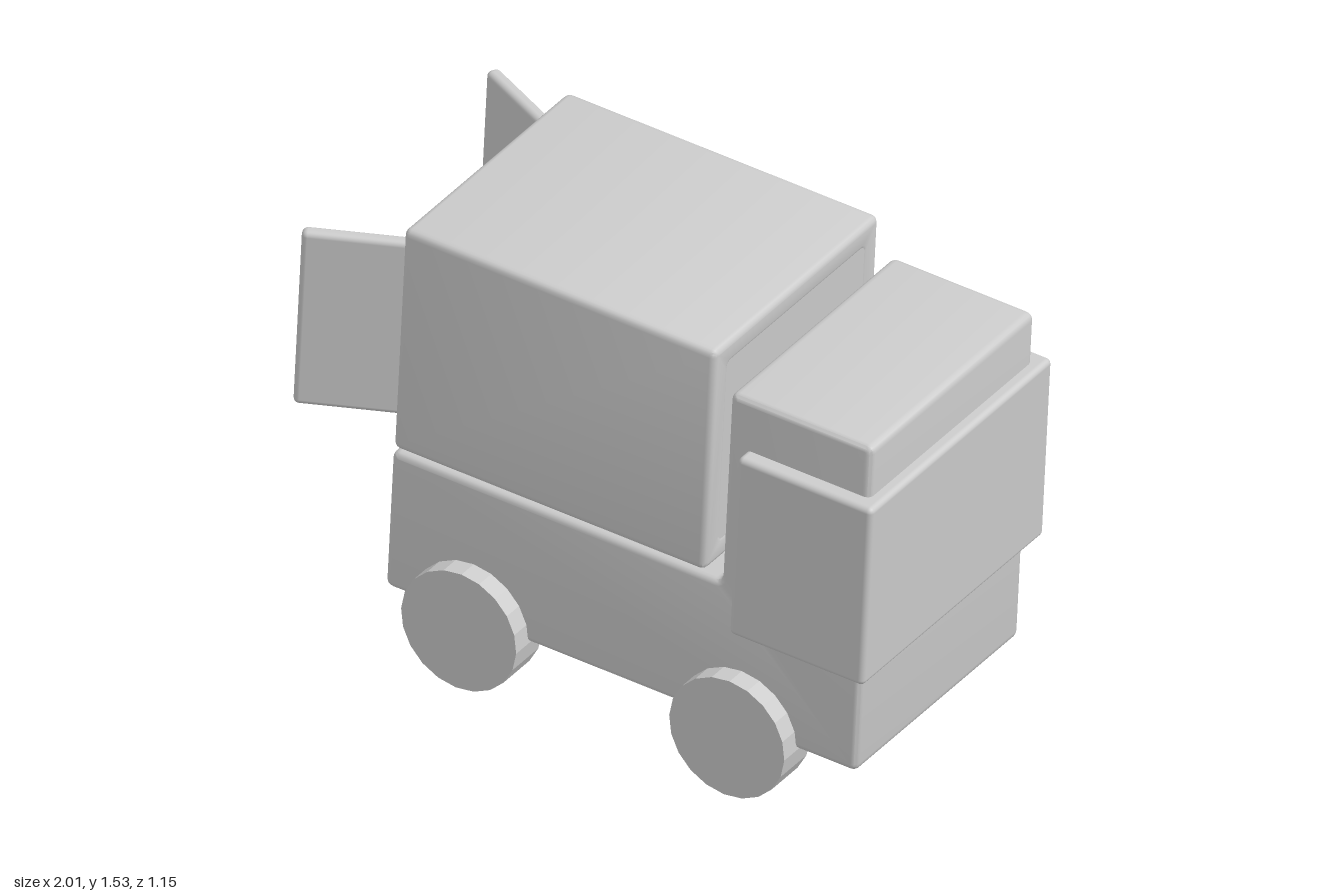
import * as THREE from 'three';
import { toCreasedNormals } from 'three/addons/utils/BufferGeometryUtils.js';
import { RoundedBoxGeometry } from 'three/addons/geometries/RoundedBoxGeometry.js';

const material = new THREE.MeshStandardMaterial({ color: 0xcccccc });

function add(parent, name, geometry, x = 0, y = 0, z = 0) {
  const mesh = new THREE.Mesh(geometry, material);
  mesh.name = name;
  mesh.position.set(x, y, z);
  parent.add(mesh);
  return mesh;
}

// Extrusion centred on z, with soft edges kept inside the outline
function softExtrude(shape, depth, bevel) {
  const geometry = new THREE.ExtrudeGeometry(shape, {
    depth: depth - 2 * bevel, bevelThickness: bevel, bevelSize: bevel,
    bevelOffset: -bevel, bevelSegments: 3, curveSegments: 4,
  });
  geometry.translate(0, 0, -depth / 2 + bevel);
  return toCreasedNormals(geometry, 0.6);
}

// Closed outline with rounded corners
function roundedOutline(points, r, target = new THREE.Shape()) {
  const pts = points.map(([x, y]) => new THREE.Vector2(x, y));
  pts.forEach((p, i) => {
    const before = pts[(i + pts.length - 1) % pts.length];
    const after = pts[(i + 1) % pts.length];
    const a = p.clone().add(before.clone().sub(p).setLength(r));
    const b = p.clone().add(after.clone().sub(p).setLength(r));
    if (i === 0) target.moveTo(a.x, a.y);
    else target.lineTo(a.x, a.y);
    target.quadraticCurveTo(p.x, p.y, b.x, b.y);
  });
  target.closePath();
  return target;
}

const rectangle = (w, h) => [[-w, -h], [w, -h], [w, h], [-w, h]];

export function createModel() {
  const model = new THREE.Group();
  model.name = 'truck';
  const body = new THREE.Group();
  body.name = 'tiltedTruck';
  body.position.set(0, -0.004, 0.052);
  body.rotation.set(-0.01, -0.015, -0.043);
  model.add(body);

  // Chassis and cab in one L-shaped block
  const side = roundedOutline([
    [-0.736, 0.232], [0.902, 0.232], [0.902, 1.38],
    [0.409, 1.38], [0.409, 0.71], [-0.736, 0.71],
  ], 0.025);
  add(body, 'chassisAndCab', softExtrude(side, 0.88, 0.02));

  // Wraparound windscreen and side windows
  add(body, 'windscreen', new RoundedBoxGeometry(0.468, 0.626, 0.98, 3, 0.018), 0.707, 0.892, 0);

  // Hollow cargo box, open at the back
  const frame = roundedOutline(rectangle(0.444, 0.388), 0.025);
  frame.holes.push(roundedOutline(rectangle(0.36, 0.305), 0.01, new THREE.Path()));
  const shell = softExtrude(frame, 1.083, 0.02).rotateY(Math.PI / 2);
  add(body, 'cargoBox', shell, -0.1885, 1.112, 0);
  add(body, 'cargoFrontWall', new THREE.BoxGeometry(0.07, 0.66, 0.77), 0.316, 1.112, 0);

  for (const s of [1, -1]) {
    const sideName = s > 0 ? 'left' : 'right';

    // Rear door swung open on its hinge
    const hinge = new THREE.Group();
    hinge.name = sideName + 'DoorHinge';
    hinge.position.set(-0.715, 1.113, s * 0.358);
    hinge.rotation.y = s * 0.45;
    body.add(hinge);
    add(hinge, sideName + 'RearDoor', new RoundedBoxGeometry(0.355, 0.61, 0.045, 3, 0.018), -0.177, 0, 0);

    // Wheels
    for (const [name, x] of [['Front', 0.496], ['Rear', -0.436]]) {
      const tyre = toCreasedNormals(new THREE.CylinderGeometry(0.2, 0.2, 0.14, 20).rotateX(Math.PI / 2), 0.2);
      add(body, sideName + name + 'Wheel', tyre, x, 0.23, s * 0.436);
    }
  }

  // Wing mirror
  const mirror = add(body, 'wingMirror', new THREE.BoxGeometry(0.13, 0.262, 0.033), 0.637, 0.872, -0.583);
  mirror.rotation.y = -0.66;

  return model;
}
